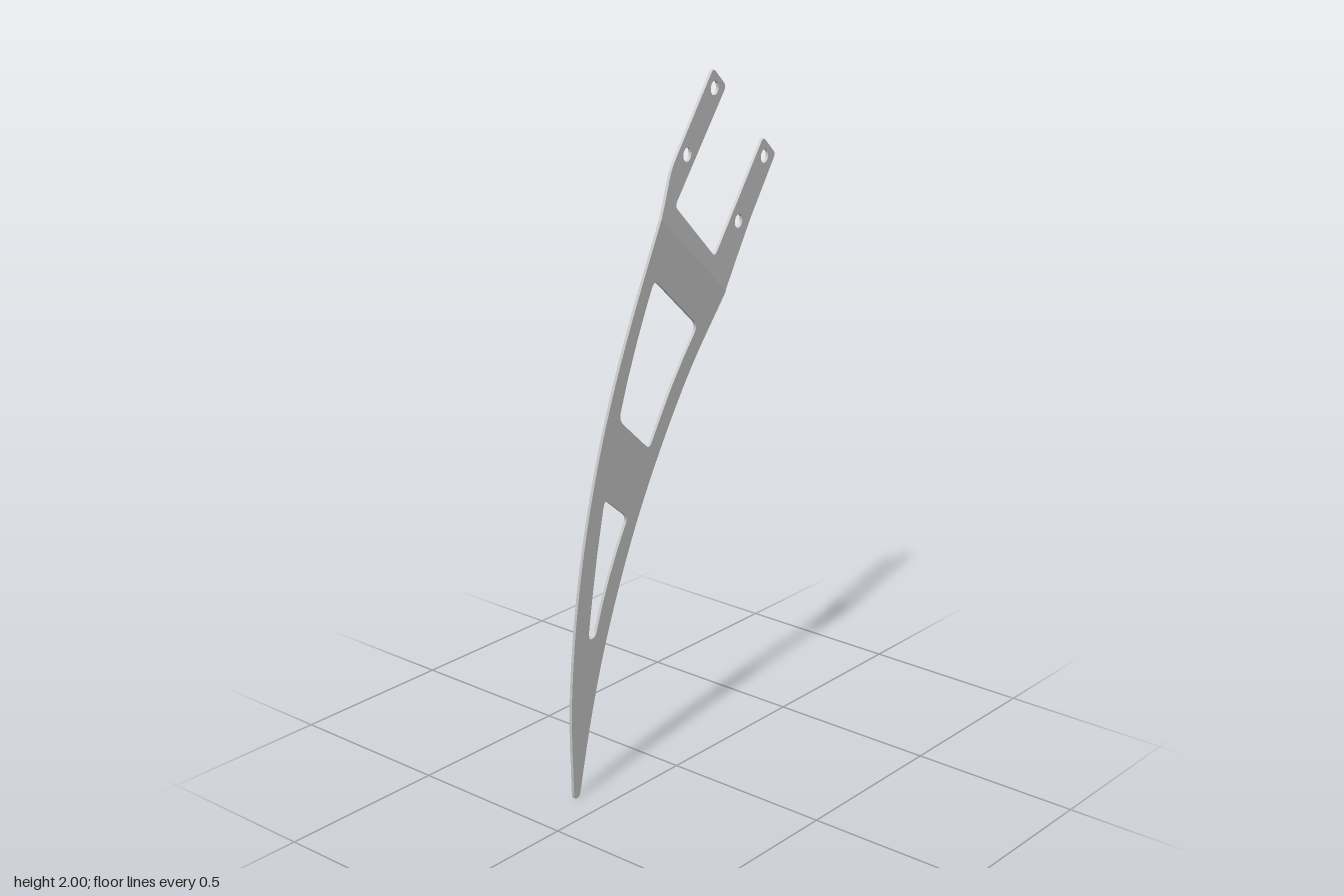
import * as THREE from 'three';
import { toCreasedNormals } from 'three/addons/utils/BufferGeometryUtils.js';

const THICK = 0.009;
const BEND_A = [-0.17, 1.65], BEND_B = [0.14, 1.39]; // ends of the fold line

// Front surface heights of the two flat halves; they meet on the fold line
const bladeZ = (x, y) => 0.093 - 0.0255 * (x - BEND_A[0]) + 0.1105 * (y - BEND_A[1]);
const forkZ = (x) => 0.093 - 0.1245 * (x - BEND_A[0]);

// Signed distance from the fold line
function foldDistance(x, y) {
  const dx = BEND_B[0] - BEND_A[0], dy = BEND_B[1] - BEND_A[1];
  return (dx * (y - BEND_A[1]) - dy * (x - BEND_A[0])) / Math.hypot(dx, dy);
}

// Smooth run of points through a few guide points
function curve(points, n = 16) {
  const c = new THREE.CatmullRomCurve3(points.map(([x, y]) => new THREE.Vector3(x, y, 0)));
  const out = c.getPoints(n).map((p) => [p.x, p.y]);
  out[0] = points[0];
  out[n] = points[points.length - 1];
  return out;
}

// Closed outline; a third number on a point rounds that corner
function outline(points, target) {
  const n = points.length;
  const toward = (p, q, r) => {
    const k = Math.min(0.48, r / Math.hypot(q[0] - p[0], q[1] - p[1]));
    return [p[0] + (q[0] - p[0]) * k, p[1] + (q[1] - p[1]) * k];
  };
  const pts = [];
  points.forEach((p, i) => {
    if (!p[2]) return pts.push(new THREE.Vector2(p[0], p[1]));
    const a = toward(p, points[(i + n - 1) % n], p[2]);
    const b = toward(p, points[(i + 1) % n], p[2]);
    const q = new THREE.QuadraticBezierCurve(
      new THREE.Vector2(...a), new THREE.Vector2(p[0], p[1]), new THREE.Vector2(...b));
    pts.push(...q.getPoints(5));
  });
  return target.setFromPoints(pts);
}

function roundHole(x, y) {
  const path = new THREE.Path();
  path.absarc(x, y, 0.019, 0, Math.PI * 2, true);
  return path;
}

// Extrudes a sheet, lays it on its plane and leaves the fold joint open
function sheet(name, shape, holes, planeZ, material) {
  shape.holes.push(...holes);
  const geo = new THREE.ExtrudeGeometry(shape, { depth: THICK, bevelEnabled: false, curveSegments: 16 });
  const src = geo.attributes.position;
  const kept = [];
  for (let i = 0; i < src.count; i += 3) {
    const tri = [0, 1, 2].map((k) => [src.getX(i + k), src.getY(i + k), src.getZ(i + k)]);
    if (tri.every(([x, y]) => Math.abs(foldDistance(x, y)) < 1e-4)) continue;
    for (const [x, y, z] of tri) kept.push(x, y, z - THICK + planeZ(x, y));
  }
  const out = new THREE.BufferGeometry();
  out.setAttribute('position', new THREE.Float32BufferAttribute(kept, 3));
  const mesh = new THREE.Mesh(toCreasedNormals(out, 0.5), material);
  mesh.name = name;
  return mesh;
}

export function createModel() {
  const group = new THREE.Group();
  group.name = 'bentBracket';
  const material = new THREE.MeshStandardMaterial({ color: 0xcccccc });

  // Curved blade below the fold
  const blade = outline([
    [-0.338, 0, 0.012], [-0.318, 0, 0.012],
    ...curve([[-0.315, 0.03], [-0.299, 0.2], [-0.27, 0.4], [-0.225, 0.6], [-0.165, 0.8],
      [-0.085, 1.0], [0.015, 1.2], BEND_B], 28),
    ...curve([BEND_A, [-0.255, 1.4], [-0.312, 1.2], [-0.353, 1.0], [-0.38, 0.78], [-0.39, 0.55],
      [-0.381, 0.3], [-0.345, 0.03]], 32),
  ], new THREE.Shape());

  // Two tapering windows in the blade
  const upperWindow = outline([
    [-0.178, 1.492, 0.025], [0.028, 1.318, 0.025],
    [-0.02, 1.243], [-0.064, 1.165], [-0.102, 1.085],
    [-0.138, 1.005, 0.018], [-0.278, 1.125, 0.025],
    [-0.256, 1.23], [-0.23, 1.33], [-0.206, 1.41],
  ], new THREE.Path());
  const lowerWindow = outline([
    [-0.312, 0.91, 0.025], [-0.206, 0.825, 0.018],
    [-0.24, 0.74], [-0.266, 0.66], [-0.287, 0.58],
    [-0.304, 0.497, 0.02], [-0.334, 0.497, 0.02],
    [-0.331, 0.62], [-0.325, 0.75],
  ], new THREE.Path());
  group.add(sheet('blade', blade, [upperWindow, lowerWindow], bladeZ, material));

  // Two-pronged mounting fork above the fold
  const fork = outline([
    BEND_A, BEND_B,
    [0.2, 1.475], [0.265, 1.565], [0.393, 1.721, 0.015], [0.328, 1.778, 0.015],
    [0.086, 1.497, 0.015], [-0.107, 1.673, 0.015],
    [0.137, 1.947, 0.015], [0.074, 2.003, 0.015],
    [-0.122, 1.775, 0.03], [-0.148, 1.705],
  ], new THREE.Shape());
  const screwHoles = [[0.08, 1.95], [-0.05, 1.798], [0.335, 1.724], [0.204, 1.57]]
    .map(([x, y]) => roundHole(x, y));
  group.add(sheet('fork', fork, screwHoles, forkZ, material));

  return group;
}
